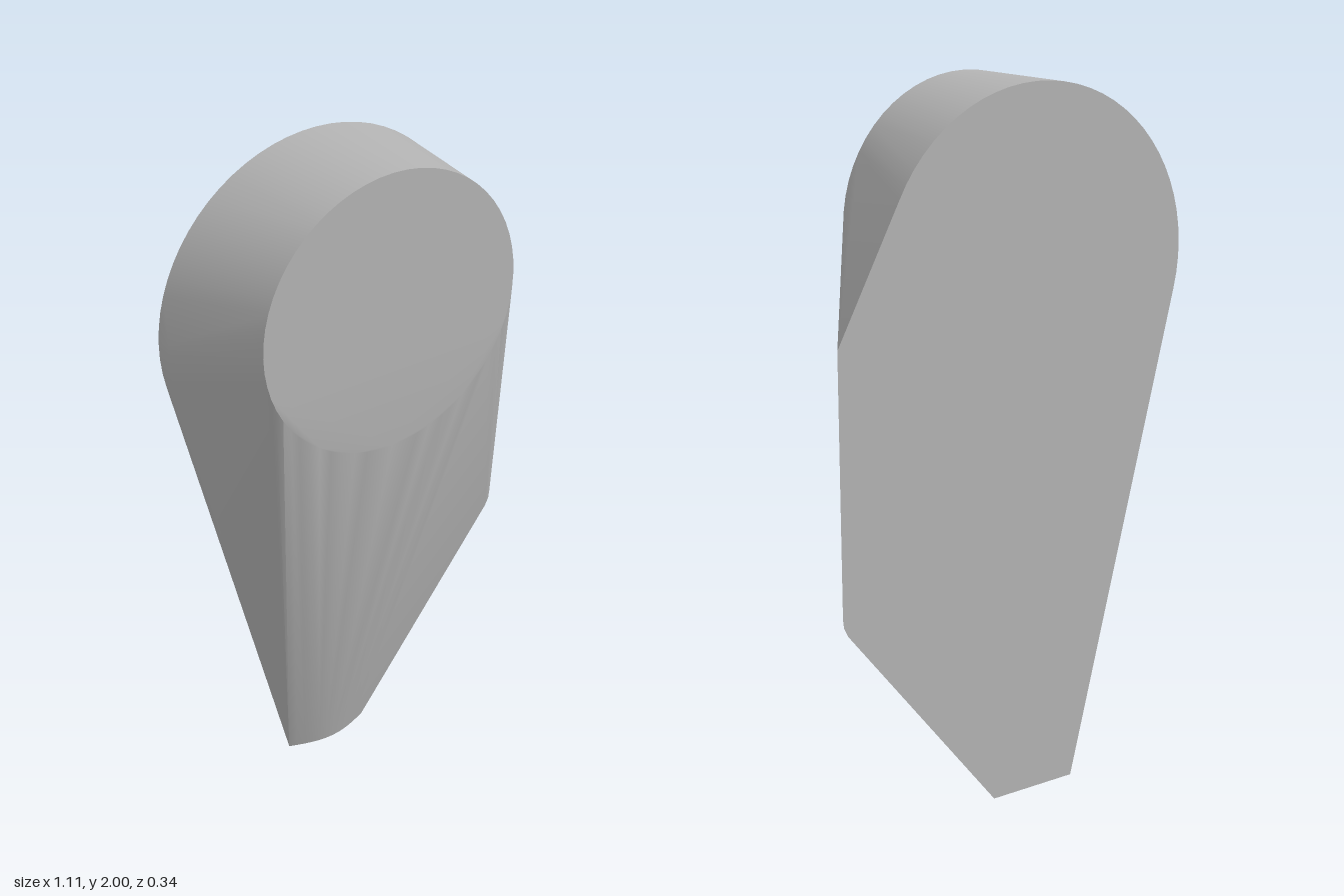
import * as THREE from 'three';
import { ConvexGeometry } from 'three/addons/geometries/ConvexGeometry.js';
import { toCreasedNormals } from 'three/addons/utils/BufferGeometryUtils.js';

const BACK = -0.17, FRONT = 0.17;

// points on an arc in a plane of constant z, angles in degrees
function arc(cx, cy, r, z, from, to, steps) {
  return Array.from({ length: steps + 1 }, (_, i) => {
    const a = THREE.MathUtils.degToRad(from + (to - from) * i / steps);
    return new THREE.Vector3(cx + r * Math.cos(a), cy + r * Math.sin(a), z);
  });
}

export function createModel() {
  const group = new THREE.Group();
  const grey = new THREE.MeshStandardMaterial({ color: 0xb4b4b4 });
  grey.name = 'grey';

  // round front face
  const points = arc(-0.065, 1.61, 0.39, FRONT, 0, 354, 59);

  // flat back outline: rounded head, right-hand shoulder and narrow foot
  points.push(...arc(-0.07, 1.515, 0.485, BACK, 26, 194, 32));
  for (const [x, y] of [[0.553, 1.37], [0.553, 0.65], [0.55, 0.625], [0.538, 0.6], [0.07, 0], [-0.2, 0]])
    points.push(new THREE.Vector3(x, y, BACK));

  // short upright rim on the left of the head
  points.push(...arc(-0.07, 1.515, 0.485, -0.12, 176, 190, 4));

  // bowed front edge of the foot
  for (let i = 1; i < 12; i++) {
    const t = i / 12;
    points.push(new THREE.Vector3(-0.2 + 0.27 * t, 0, BACK + 0.034 * Math.sin(Math.PI * t)));
  }

  const body = new THREE.Mesh(toCreasedNormals(new ConvexGeometry(points), Math.PI / 6), grey);
  body.name = 'taperedBody';
  group.add(body);
  return group;
}
